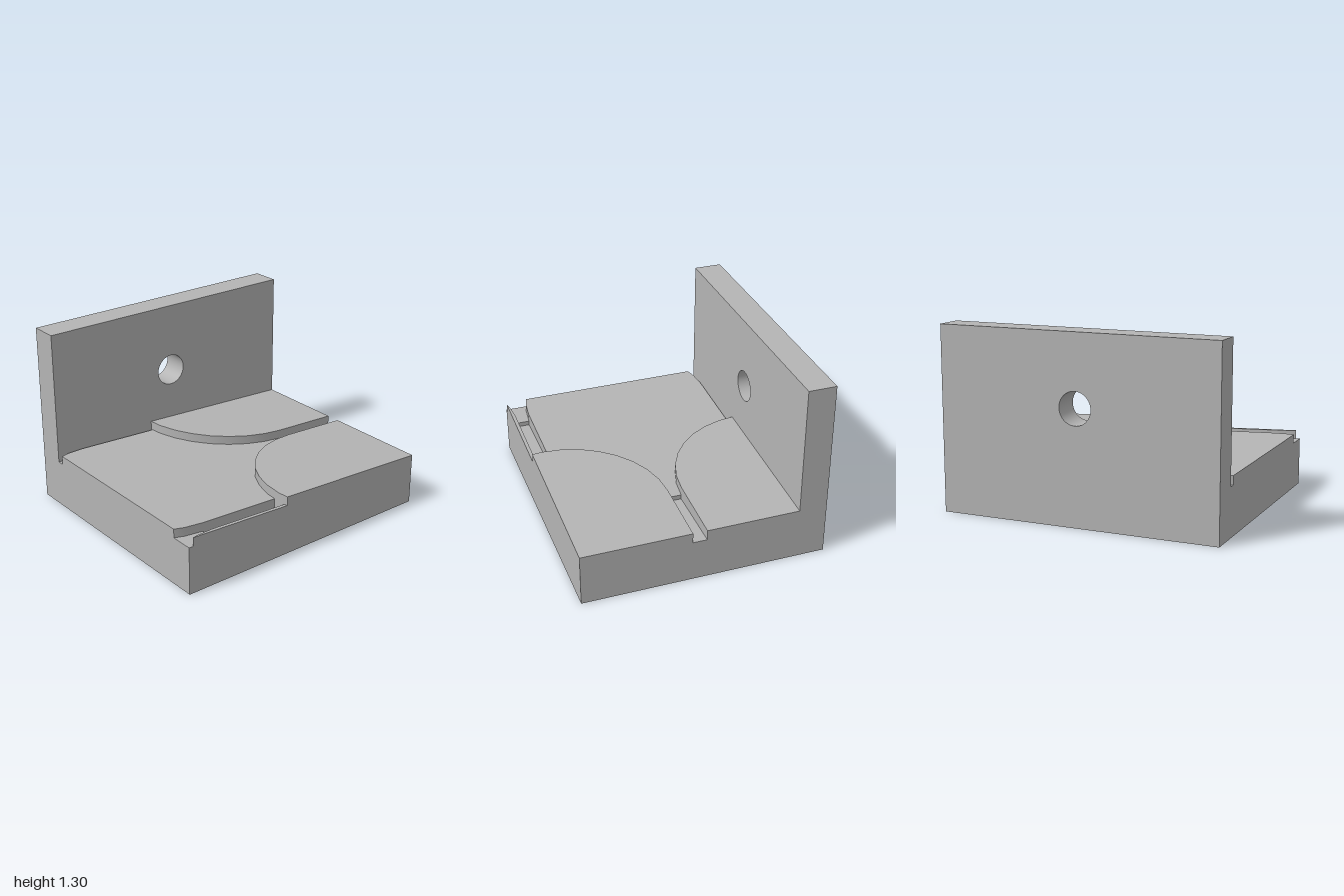
import * as THREE from 'three';
import { toCreasedNormals } from 'three/addons/utils/BufferGeometryUtils.js';

const HALF_X = 1, HALF_Z = 0.87, WALL_Z = -0.67, BASE_Y = 0.3;
const SLOPE = -0.048, RADIUS = 0.7;

// Keeps the part of a polygon where side * point[axis] <= side * limit
function clip(points, axis, limit, side) {
  const out = [];
  points.forEach((p, i) => {
    const q = points[(i + 1) % points.length];
    const dp = side * (p[axis] - limit), dq = side * (q[axis] - limit);
    if (dp <= 0) out.push(p);
    if (dp * dq < 0) out.push(p.clone().lerp(q, dp / (dp - dq)));
  });
  return out;
}

// Tile outline (x, z): round end towards -x, straight sides up to endX
function roundTile(cx, cz, endX) {
  const pts = [];
  for (let i = 0; i <= 16; i++) {
    const a = Math.PI / 2 + (i / 16) * Math.PI;
    pts.push(new THREE.Vector2(cx + RADIUS * Math.cos(a), cz + RADIUS * Math.sin(a)));
  }
  pts.push(new THREE.Vector2(endX, cz - RADIUS), new THREE.Vector2(endX, cz + RADIUS));
  return pts;
}

// Solid tile standing on the base with a sloping top, y = height + SLOPE * x
function tileGeometry(outline, height) {
  let pts = clip(outline, 'x', -HALF_X, -1);
  pts = clip(pts, 'y', WALL_Z, -1);
  pts = clip(pts, 'y', HALF_Z, 1);
  const shape = new THREE.Shape(pts.map((p) => new THREE.Vector2(p.x, -p.y)));
  const geo = new THREE.ExtrudeGeometry(shape, { depth: 1, bevelEnabled: false });
  geo.rotateX(-Math.PI / 2);
  const pos = geo.attributes.position;
  for (let i = 0; i < pos.count; i++) {
    const top = height + SLOPE * pos.getX(i);
    pos.setY(i, pos.getY(i) > 0.5 ? top : BASE_Y);
  }
  return toCreasedNormals(geo, 0.5);
}

export function createModel() {
  const group = new THREE.Group();
  const grey = new THREE.MeshStandardMaterial({ color: 0xb4b4b4 });
  grey.name = 'grey';
  const add = (name, geo) => {
    const mesh = new THREE.Mesh(geo, grey);
    mesh.name = name;
    group.add(mesh);
    return mesh;
  };

  // Flat base in front of the wall
  const depth = HALF_Z - WALL_Z;
  add('base', new THREE.BoxGeometry(2 * HALF_X, BASE_Y, depth))
    .position.set(0, BASE_Y / 2, WALL_Z + depth / 2);

  // Upright back wall with a round hole
  const wall = new THREE.Shape();
  wall.moveTo(-HALF_X, 0).lineTo(HALF_X, 0).lineTo(HALF_X, 1.3).lineTo(-HALF_X, 1.3).closePath();
  const hole = new THREE.Path();
  hole.absarc(0, 0.8, 0.114, 0, Math.PI * 2, true);
  wall.holes.push(hole);
  const wallGeo = new THREE.ExtrudeGeometry(wall, {
    depth: WALL_Z + HALF_Z, bevelEnabled: false, curveSegments: 24,
  });
  add('backWall', toCreasedNormals(wallGeo, 0.5)).position.z = -HALF_Z;

  // Overlapping rows of round-ended tiles
  const topRow = 0.421, middleRow = 0.357, bottomRow = 0.294;
  add('topTileBack', tileGeometry(roundTile(0.505, -0.705, HALF_X), topRow));
  add('topTileFront', tileGeometry(roundTile(0.505, 0.795, HALF_X), topRow));
  add('middleTile', tileGeometry(roundTile(-0.795, 0.045, 0.505), middleRow));
  add('middleTileFront', tileGeometry(roundTile(-0.795, 1.545, 0.505), middleRow));
  const strip = [[-1, 1], [-1, -1], [-0.795, -1], [-0.795, 1]];
  add('bottomTile', tileGeometry(strip.map(([x, z]) => new THREE.Vector2(x, z)), bottomRow));
  return group;
}
